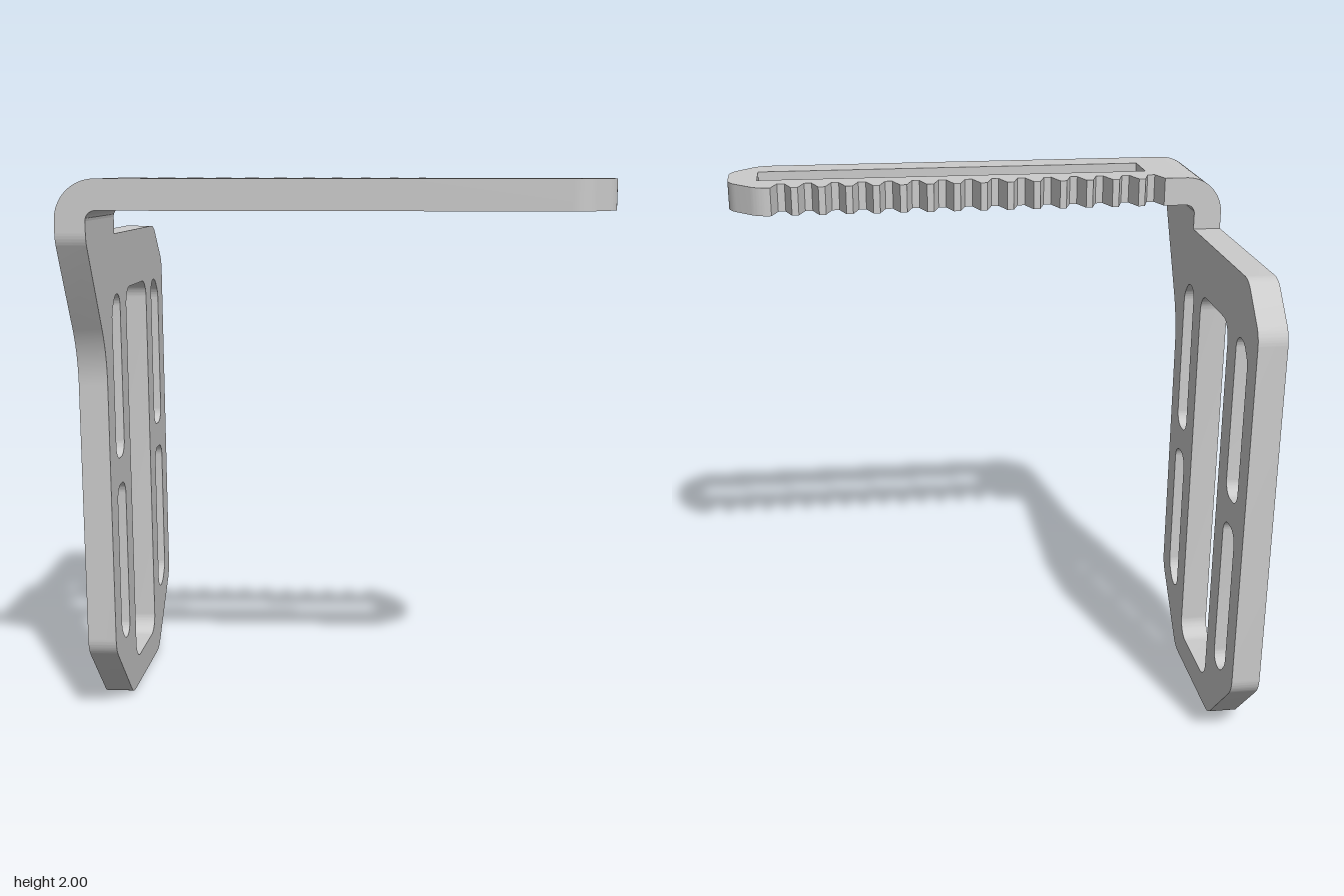
import * as THREE from 'three';
import { toCreasedNormals } from 'three/addons/utils/BufferGeometryUtils.js';

const material = new THREE.MeshStandardMaterial({ color: 0xcccccc });
const T = 0.105;                       // sheet thickness
const LEFT = -0.94, TOP = 2;           // outer faces of the plate and arm
const BEND_IN = 0.035, BEND_OUT = BEND_IN + T;
const Z0 = 0.23, Z1 = 0.66;            // back and front edges of the arm

// Closed path through [x, y, filletRadius] corners
function filleted(path, corners) {
  const n = corners.length;
  corners.forEach(([x, y, r = 0], i) => {
    const p = new THREE.Vector2(x, y);
    const toward = (c) => new THREE.Vector2(c[0], c[1]).sub(p).normalize();
    const a = toward(corners[(i + n - 1) % n]), b = toward(corners[(i + 1) % n]);
    if (!r) {
      i ? path.lineTo(x, y) : path.moveTo(x, y);
      return;
    }
    const half = Math.acos(a.dot(b)) / 2;
    const trim = r / Math.tan(half);
    const start = p.clone().addScaledVector(a, trim);
    const end = p.clone().addScaledVector(b, trim);
    const c = p.clone().addScaledVector(a.clone().add(b).normalize(), r / Math.sin(half));
    i ? path.lineTo(start.x, start.y) : path.moveTo(start.x, start.y);
    path.absarc(c.x, c.y, r, Math.atan2(start.y - c.y, start.x - c.x),
      Math.atan2(end.y - c.y, end.x - c.x), a.cross(b) > 0);
  });
  path.closePath();
  return path;
}

function extrude(name, shape, depth) {
  const geometry = new THREE.ExtrudeGeometry(shape, { depth, bevelEnabled: false, curveSegments: 10 });
  const mesh = new THREE.Mesh(toCreasedNormals(geometry, 0.5), material);
  mesh.name = name;
  return mesh;
}

// Upright plate, drawn in (-z, y) and extruded along x
function createPlate() {
  const shape = filleted(new THREE.Shape(), [
    [-Z1, TOP - BEND_OUT], [-Z1, 1.795, 0.1], [-0.41, 1.38, 0.41],
    [-0.41, 0.27, 0.1], [-0.14, 0, 0.1], [0.385, 0, 0.1],
    [0.655, 0.27, 0.1], [0.655, 1.645, 0.1], [0.5, 1.8, 0.1],
    [-Z0, 1.8], [-Z0, TOP - BEND_OUT],
  ]);
  // Large central window
  shape.holes.push(filleted(new THREE.Path(), [
    [-0.065, 0.11, 0.07], [0.31, 0.11, 0.07], [0.31, 1.59, 0.07], [-0.065, 1.59, 0.07],
  ]));
  // Side slots, with the corner nearest the plate's corner cut wider
  for (const [inner, outer] of [[-0.17, -0.305], [0.415, 0.555]]) {
    const s = Math.sign(outer - inner);
    for (const [near, far] of [[0.97, 1.58], [0.87, 0.26]]) {
      const d = Math.sign(far - near);
      shape.holes.push(filleted(new THREE.Path(), [
        [inner, near, 0.055], [outer, near, 0.055],
        [outer, far - d * 0.06, 0.07], [outer - s * 0.055, far, 0.07],
        [inner, far, 0.05],
      ]));
    }
  }
  const plate = extrude('uprightPlate', shape, T);
  plate.rotation.y = Math.PI / 2;
  plate.position.x = LEFT;
  return plate;
}

// Quarter-round bend, extruded along z
function createBend() {
  const cx = LEFT + BEND_OUT, cy = TOP - BEND_OUT;
  const shape = new THREE.Shape();
  shape.absarc(cx, cy, BEND_OUT, Math.PI, Math.PI / 2, true);
  shape.absarc(cx, cy, BEND_IN, Math.PI / 2, Math.PI, false);
  shape.closePath();
  const bend = extrude('bend', shape, Z1 - Z0);
  bend.position.z = Z0;
  return bend;
}

// Toothed arm, drawn in (x, -z) and extruded along y
function createArm() {
  const start = LEFT + BEND_OUT;
  const corners = [
    [start, -Z1], [0.825, -Z1, 0.11], [0.94, -0.54, 0.11],
    [0.94, -0.345, 0.11], [0.825, -Z0, 0.1],
  ];
  // Row of tapered notches along the back edge
  for (let i = 14; i >= 0; i--) {
    const x = -0.676 + i * 0.1011;
    corners.push([x + 0.038, -Z0], [x + 0.014, -0.302], [x - 0.014, -0.302], [x - 0.038, -Z0]);
  }
  corners.push([start, -Z0]);
  const shape = filleted(new THREE.Shape(), corners);
  // Long slot
  shape.holes.push(filleted(new THREE.Path(), [
    [-0.67, -0.54], [0.83, -0.54], [0.83, -0.378], [-0.67, -0.378],
  ]));
  const arm = extrude('toothedArm', shape, T);
  arm.rotation.x = -Math.PI / 2;
  arm.position.y = TOP - T;
  return arm;
}

export function createModel() {
  const group = new THREE.Group();
  group.name = 'slottedBracket';
  group.add(createPlate(), createBend(), createArm());
  return group;
}
